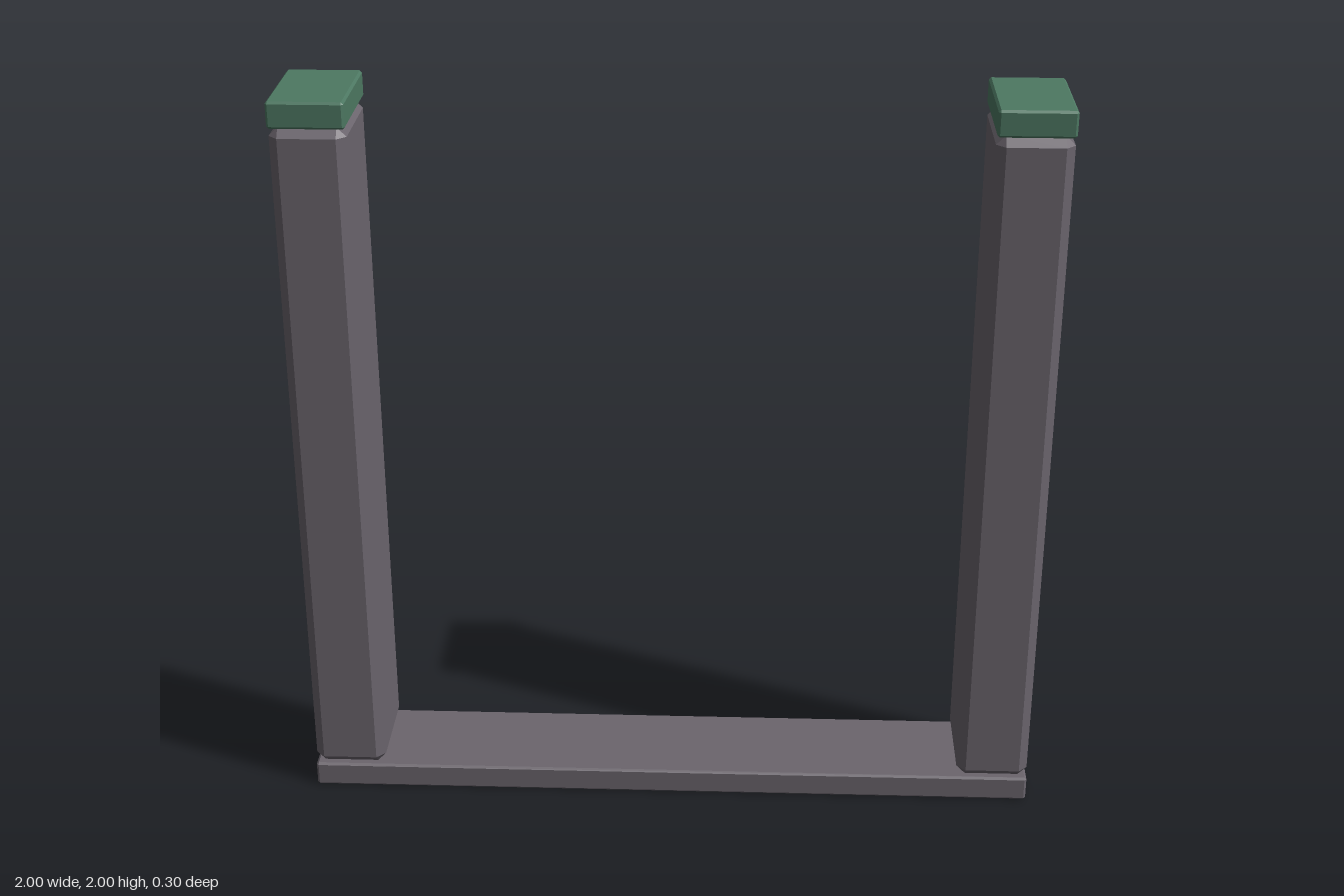
import * as THREE from 'three';
import { ConvexGeometry } from 'three/addons/geometries/ConvexGeometry.js';

// Box with all edges and corners chamfered by b
function chamferBox(w, h, d, b) {
  const points = [];
  for (const sx of [-1, 1]) for (const sy of [-1, 1]) for (const sz of [-1, 1]) {
    const x = w / 2, y = h / 2, z = d / 2;
    points.push(
      new THREE.Vector3(sx * x, sy * (y - b), sz * (z - b)),
      new THREE.Vector3(sx * (x - b), sy * y, sz * (z - b)),
      new THREE.Vector3(sx * (x - b), sy * (y - b), sz * z)
    );
  }
  return new ConvexGeometry(points);
}

export function createModel() {
  const group = new THREE.Group();
  const stone = new THREE.MeshStandardMaterial({ color: 0x6b656d });
  stone.name = 'purple grey';
  const green = new THREE.MeshStandardMaterial({ color: 0x4d7862 });
  green.name = 'muted green';

  const add = (name, geometry, material, x, y) => {
    const mesh = new THREE.Mesh(geometry, material);
    mesh.name = name;
    mesh.position.set(x, y, 0);
    group.add(mesh);
  };

  // Sill across the bottom
  add('sill', chamferBox(2, 0.07, 0.296, 0.006), stone, 0, 0.035);

  // Matching posts with green caps
  const post = chamferBox(0.196, 1.86, 0.296, 0.024);
  const cap = chamferBox(0.196, 0.07, 0.296, 0.006);
  for (const [side, s] of [['left', 1], ['right', -1]]) {
    add(side + 'Post', post, stone, s * 0.902, 1);
    add(side + 'Cap', cap, green, s * 0.902, 1.965);
  }
  return group;
}
